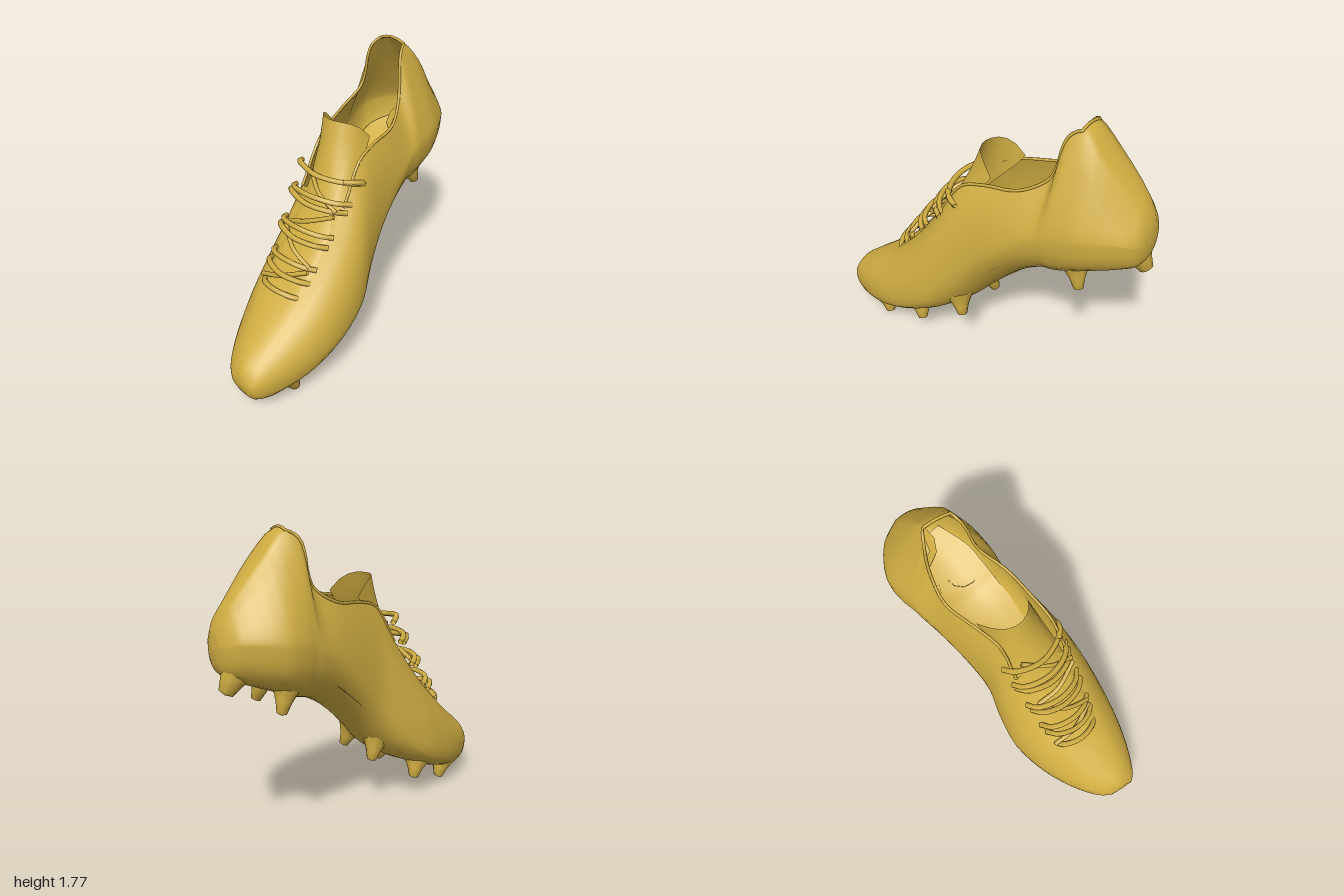
import * as THREE from 'three';

const gold = new THREE.MeshStandardMaterial({ color: 0xd0ad42, side: THREE.DoubleSide });
gold.name = 'gold';
const V = (x, y, z) => new THREE.Vector3(x, y, z);

// Boot sections: z, left, right, sole y, widest y, rim left, rim right, rim y
const SECTIONS = [
  [0.995, 0.14, 0.30, 0.15, 0.20, 0.18, 0.26, 0.24],
  [0.96, 0.08, 0.335, 0.085, 0.20, 0.15, 0.27, 0.295],
  [0.88, 0.00, 0.372, 0.055, 0.21, 0.10, 0.28, 0.36],
  [0.75, -0.095, 0.412, 0.065, 0.24, 0.04, 0.28, 0.455],
  [0.60, -0.175, 0.44, 0.10, 0.28, -0.05, 0.27, 0.565],
  [0.40, -0.24, 0.445, 0.18, 0.36, -0.09, 0.26, 0.77],
  [0.20, -0.24, 0.41, 0.27, 0.50, -0.11, 0.24, 1.04],
  [0.05, -0.225, 0.335, 0.37, 0.68, -0.13, 0.21, 1.27],
  [-0.10, -0.265, 0.28, 0.53, 0.84, -0.19, 0.18, 1.32],
  [-0.30, -0.335, 0.23, 0.71, 1.00, -0.265, 0.14, 1.35],
  [-0.45, -0.39, 0.195, 0.795, 1.10, -0.26, 0.05, 1.45],
  [-0.505, -0.405, 0.19, 0.81, 1.12, -0.24, 0.00, 1.69],
  [-0.57, -0.43, 0.18, 0.83, 1.14, -0.21, -0.03, 1.74],
  [-0.70, -0.45, 0.155, 0.89, 1.17, -0.23, -0.02, 1.61],
  [-0.90, -0.355, 0.04, 0.97, 1.19, -0.24, -0.09, 1.38],
  [-0.96, -0.28, -0.02, 1.01, 1.17, -0.22, -0.08, 1.28],
  [-0.985, -0.22, -0.08, 1.07, 1.16, -0.19, -0.11, 1.21],
];
const SIDE = 6, BOTTOM = 14, CAP = 5, SUB = 3;
const RIM = SIDE * 2 + BOTTOM;            // column of the right rim
const OPEN_FROM = 6 * SUB, OPEN_TO = 12 * SUB;

// One ring: left rim, down the side, under the sole, up to the right rim, over the crown.
// The sides pinch in above the heel and the sole rounds off under the arch.
function ring([z, l, r, bot, mid, rl, rr, ry]) {
  const pts = [];
  const bulge = THREE.MathUtils.lerp(0.2, 0.62, THREE.MathUtils.smoothstep(z, -0.45, -0.05));
  const round = 0.8 + 0.4 * Math.exp(-(((z + 0.2) / 0.25) ** 2));
  const side = (x, rx, t) => {
    const c = mid + bulge * (ry - mid), s = 1 - t;
    return V(s * s * x + 2 * s * t * x + t * t * rx, s * s * mid + 2 * s * t * c + t * t * ry, z);
  };
  for (let i = 0; i < SIDE; i++) pts.push(side(l, rl, 1 - i / SIDE));
  for (let i = 0; i < BOTTOM; i++) {
    const a = Math.PI * i / BOTTOM, c = Math.cos(a);
    const x = (l + r) / 2 - (r - l) / 2 * Math.sign(c) * Math.abs(c) ** round;
    pts.push(V(x, mid - (mid - bot) * Math.sin(a) ** round, z));
  }
  for (let i = 0; i <= SIDE; i++) pts.push(side(r, rr, i / SIDE));
  for (let i = 1; i < CAP; i++) {
    const t = i / CAP;
    pts.push(V(rr + (rl - rr) * t, ry + 0.02 * Math.sin(Math.PI * t), z));
  }
  return pts;
}

// Smooths each column of a grid of points along its rows
function smoothRows(rows) {
  const curves = rows[0].map((_, j) => new THREE.CatmullRomCurve3(rows.map(r => r[j])));
  const n = (rows.length - 1) * SUB;
  return Array.from({ length: n + 1 }, (_, i) => curves.map(c => c.getPoint(i / n)));
}

// Skins a grid of points; skip(i, j) leaves a quad out
function skin(rows, closed = false, skip = () => false) {
  const m = rows[0].length, index = [];
  for (let i = 0; i < rows.length - 1; i++) {
    for (let j = 0; j < (closed ? m : m - 1); j++) {
      if (skip(i, j)) continue;
      const k = (j + 1) % m, a = i * m + j, b = i * m + k;
      index.push(a, a + m, b, b, a + m, b + m);
    }
  }
  const g = new THREE.BufferGeometry().setFromPoints(rows.flat());
  g.setIndex(index);
  g.computeVertexNormals();
  return g;
}

export function createModel() {
  const boot = new THREE.Group();
  boot.name = 'footballBoot';
  const add = (name, geometry, parent = boot) => {
    const mesh = new THREE.Mesh(geometry, gold);
    mesh.name = name;
    parent.add(mesh);
    return mesh;
  };
  const tube = (pts, radius, segs = 16) =>
    new THREE.TubeGeometry(new THREE.CatmullRomCurve3(pts), segs, radius, 6);

  // Upper and sole as one shell with the ankle opening left out
  const shell = smoothRows(SECTIONS.map(ring));
  const tip = (row, dz) => {
    const c = row.reduce((s, p) => s.add(p), V(0, 0, 0)).divideScalar(row.length);
    c.z += dz;
    return row.map(() => c);
  };
  const rows = [tip(shell[0], 0.005), ...shell, tip(shell[shell.length - 1], -0.005)];
  add('upper', skin(rows, true, (i, j) => j >= RIM && i > OPEN_FROM && i <= OPEN_TO));

  // Thin collar edge around the opening
  const open = shell.slice(OPEN_FROM, OPEN_TO + 1);
  const collar = [
    ...open.map(r => r[0]),
    ...open[open.length - 1].slice(RIM + 1).reverse(),
    ...open.map(r => r[RIM]).reverse(),
  ];
  add('collar', tube(collar, 0.009, 90));

  // Insole, following the sole inside the shell
  const insole = SECTIONS.slice(5, 15).map(([z, l, r, bot, mid]) =>
    [0.85, 0.45, 0, -0.45, -0.85].map(u =>
      V((l + r) / 2 + u * (r - l) / 2, bot + (mid - bot) * (0.25 + 0.4 * u * u), z)));
  add('insole', skin(smoothRows(insole)));

  // Tongue: z, y, centre x, backward curl, edge drop
  const tongue = [
    [0.06, 1.46, -0.02, 0.17, 0.11],
    [0.10, 1.34, 0.00, 0.16, 0.06],
    [0.16, 1.19, 0.03, 0.11, 0.03],
    [0.26, 1.00, 0.07, 0.05, 0.02],
    [0.58, 0.60, 0.11, 0.01, 0.02],
  ].map(([z, y, cx, back, drop]) => Array.from({ length: 11 }, (_, i) => {
    const u = i / 5 - 1;
    return V(cx + 0.165 * Math.sin(u * 1.3), y - drop * u ** 4, z - back * u * u);
  }));
  add('tongue', skin(smoothRows(tongue)));

  // Laces: rows climbing the instep, spreading and slanting back towards the ankle
  const laces = new THREE.Group();
  laces.name = 'laces';
  boot.add(laces);
  [0.60, 0.68, 0.75, 0.86, 0.91, 1.03, 1.07, 1.17].forEach((y, i) => {
    const t = (y - 0.6) / 0.57, z = 0.605 - 0.4 * t;
    const l = -0.06 - 0.11 * t, r = 0.26, rise = i % 2 * 0.03, set = 0.02 + 0.09 * t * t;
    add('lace', tube([
      V(l, y + rise - 0.03, z - 0.06), V(l + 0.05, y + rise, z),
      V((l + r) / 2, y + 0.015, z + 0.025), V(r - 0.05, y, z - set / 2), V(r, y - 0.02, z - set - 0.04),
    ], 0.017), laces);
  });
  // Diagonal strands between the lace rows
  for (let i = 0; i < 4; i++) {
    const y = 0.61 + i * 0.14, z = 0.585 - i * 0.105, s = i % 2 ? -1 : 1;
    add('crossLace', tube([
      V(0.09 - s * 0.15, y, z - 0.01), V(0.09, y + 0.06, z - 0.02), V(0.09 + s * 0.15, y + 0.12, z - 0.1),
    ], 0.014), laces);
  }
  add('laceEnd', tube([V(0.2, 1.18, 0.17), V(0.25, 1.17, 0.1), V(0.25, 1.14, 0.03)], 0.017), laces);

  // Flared studs, each from a base in the sole to its tip
  const studs = new THREE.Group();
  studs.name = 'studs';
  boot.add(studs);
  const stud = (base, end, radius) => {
    const dir = end.clone().sub(base), h = dir.length();
    const profile = [[1.5, 0], [1.05, 0.3], [0.68, 0.6], [0.42, 0.95], [0, 1]]
      .map(([r, t]) => new THREE.Vector2(r * radius, t * h));
    const mesh = add('stud', new THREE.LatheGeometry(profile, 10), studs);
    mesh.position.copy(base);
    mesh.quaternion.setFromUnitVectors(V(0, 1, 0), dir.normalize());
  };
  // Pairs: left x, right x, tip y, tip z, base y
  [
    [0.00, 0.31, 0.005, 0.66, 0.14],
    [-0.13, 0.30, 0.115, 0.35, 0.25],
    [-0.10, 0.24, 0.29, 0.04, 0.44],
    [-0.30, 0.03, 0.77, -0.675, 0.95],
  ].forEach(([l, r, y, z, base]) => [l, r].forEach(x =>
    stud(V(x + ((l + r) / 2 - x) * 0.2, base, z + 0.06), V(x, y, z), 0.07)));
  stud(V(-0.2, 1.09, -0.84), V(-0.22, 0.91, -0.96), 0.1);

  return boot;
}
